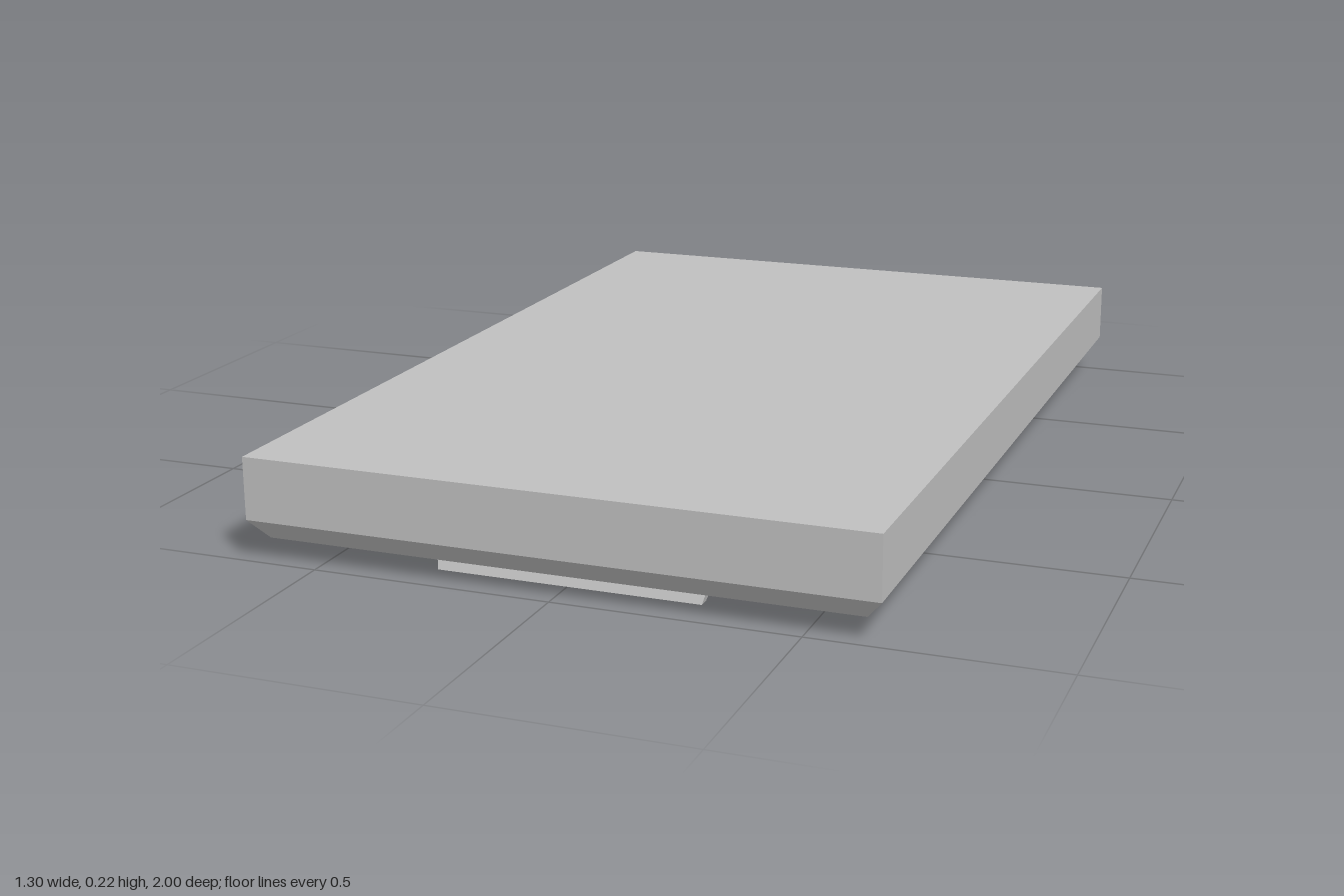
import * as THREE from 'three';

const grey = new THREE.MeshStandardMaterial({ color: 0xc0c0c0, flatShading: true });
grey.name = 'plain grey';

const W = 0.648, L = 1, TOP = 0.215, SEAM = 0.085, BASE = 0.043;

function part(name, geometry) {
  const mesh = new THREE.Mesh(geometry, grey);
  mesh.name = name;
  return mesh;
}

// Skin between matching point loops, listed from the top down; the last may be capped.
function loft(loops, cap) {
  const n = loops[0].length, index = [];
  for (let s = 0; s < loops.length - 1; s++) {
    for (let i = 0; i < n; i++) {
      const j = (i + 1) % n;
      const a = s * n + i, b = s * n + j, c = a + n, d = b + n;
      index.push(c, d, b, c, b, a);
    }
  }
  const last = (loops.length - 1) * n;
  if (cap) for (let i = 1; i < n - 1; i++) index.push(last, last + i + 1, last + i);
  const g = new THREE.BufferGeometry();
  g.setAttribute('position', new THREE.Float32BufferAttribute(loops.flat(2), 3));
  g.setIndex(index);
  const flat = g.toNonIndexed();
  flat.computeVertexNormals();
  return flat;
}

// Rectangle with cut corners in a level plane
function octagon(x, z, cut, y) {
  return [
    [x - cut, y, z], [x, y, z - cut], [x, y, -z + cut], [x - cut, y, -z],
    [-x + cut, y, -z], [-x, y, -z + cut], [-x, y, z - cut], [-x + cut, y, z],
  ];
}

const rectangle = (half, zIn, zOut, y) =>
  [[half, y, zOut], [half, y, zIn], [-half, y, zIn], [-half, y, zOut]];

function rectPath(PathType, x0, x1, z0, z1) {
  return new PathType([[x0, z0], [x1, z0], [x1, z1], [x0, z1]].map(p => new THREE.Vector2(...p)));
}

// Bevelled underside with four slots cut through it
function undersideGeometry() {
  const shape = rectPath(THREE.Shape, -W, W, -L, L);
  shape.holes.push(
    rectPath(THREE.Path, -0.335, 0.335, 0.82, 0.9),
    rectPath(THREE.Path, -0.335, 0.335, -0.9, -0.82),
    rectPath(THREE.Path, 0.452, 0.552, -0.42, 0.42),
    rectPath(THREE.Path, -0.552, -0.452, -0.42, 0.42),
  );
  const g = new THREE.ExtrudeGeometry(shape, { depth: SEAM - BASE, bevelEnabled: false });
  g.rotateX(Math.PI / 2).translate(0, SEAM, 0);
  const p = g.attributes.position;
  for (let i = 0; i < p.count; i++) {
    // Draw in the outer rim at the bottom
    if (p.getY(i) < SEAM - 0.01 && Math.abs(p.getX(i)) > 0.6) {
      p.setX(i, Math.sign(p.getX(i)) * (W - 0.035));
      p.setZ(i, Math.sign(p.getZ(i)) * (L - 0.03));
    }
  }
  g.computeVertexNormals();
  return g;
}

// Leaning lip rising from a slot floor, pointing outward along +z
const lip = (half, top, tip) => loft([
  rectangle(half + 0.02, ...top, SEAM),
  rectangle(half, ...tip, 0),
], true);

export function createModel() {
  const model = new THREE.Group();
  model.name = 'tray';

  const slab = part('slab', new THREE.BoxGeometry(2 * W, TOP - SEAM, 2 * L));
  slab.position.y = (TOP + SEAM) / 2;
  model.add(slab, part('bevelledUnderside', undersideGeometry()));

  // Raised rim in the middle of the underside
  model.add(part('centreRim', loft([
    octagon(0.375, 0.645, 0.065, BASE),
    octagon(0.36, 0.63, 0.065, 0.012),
    octagon(0.328, 0.598, 0.055, 0.012),
    octagon(0.315, 0.585, 0.055, BASE),
  ], false)));

  // Lips at both ends and both sides
  const endLip = lip(0.275, [0.828, 0.879], [0.893, 0.915]);
  const sideLip = lip(0.355, [0.492, 0.541], [0.522, 0.549]);
  ['frontLip', 'leftLip', 'backLip', 'rightLip'].forEach((name, i) => {
    const mesh = part(name, i % 2 ? sideLip : endLip);
    mesh.rotation.y = i * Math.PI / 2;
    model.add(mesh);
  });
  return model;
}
